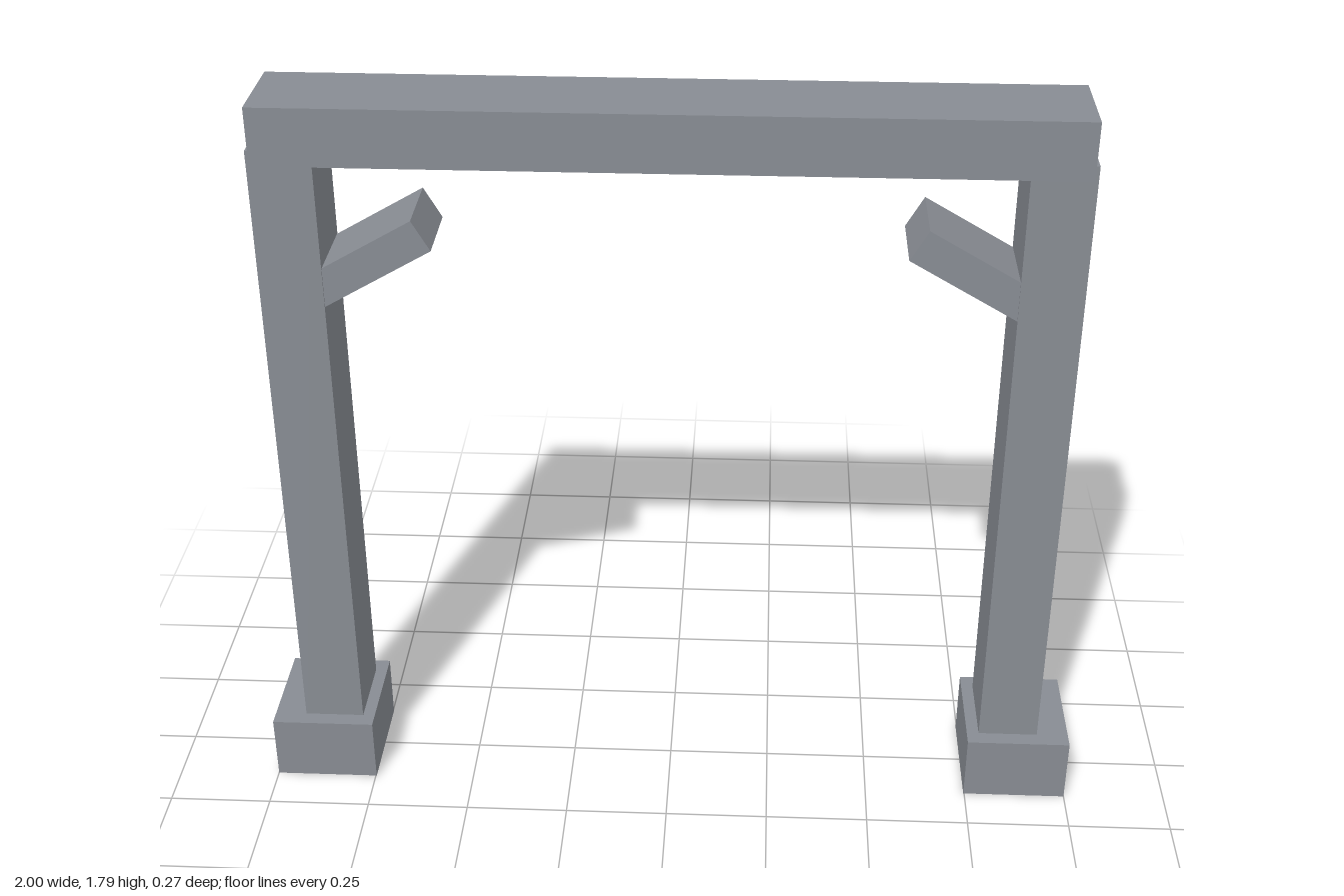
import * as THREE from 'three';

export function createModel() {
  const group = new THREE.Group();
  const stone = new THREE.MeshStandardMaterial({ color: 0x888c93 });
  stone.name = 'grey stone';

  const addBox = (name, size, position, tilt = 0) => {
    const mesh = new THREE.Mesh(new THREE.BoxGeometry(...size), stone);
    mesh.name = name;
    mesh.position.set(...position);
    mesh.rotation.z = tilt;
    group.add(mesh);
  };

  // Top beam, overlapping the post tops
  addBox('beam', [1.825, 0.135, 0.222], [0, 1.727, 0]);

  // Footing, post and angled brace on each side
  const angle = Math.PI / 6;
  const braceLength = 0.36;
  for (const [side, label] of [[1, 'left'], [-1, 'right']]) {
    addBox(`${label}Footing`, [0.252, 0.163, 0.273], [side * 0.874, 0.0815, 0]);
    addBox(`${label}Post`, [0.145, 1.58, 0.195], [side * 0.85, 0.9, 0]);
    // The brace rises inward from inside the post to its free end
    addBox(
      `${label}Brace`,
      [braceLength, 0.083, 0.188],
      [
        side * (0.55 + (braceLength / 2) * Math.cos(angle)),
        1.494 - (braceLength / 2) * Math.sin(angle),
        0,
      ],
      -side * angle,
    );
  }

  return group;
}
